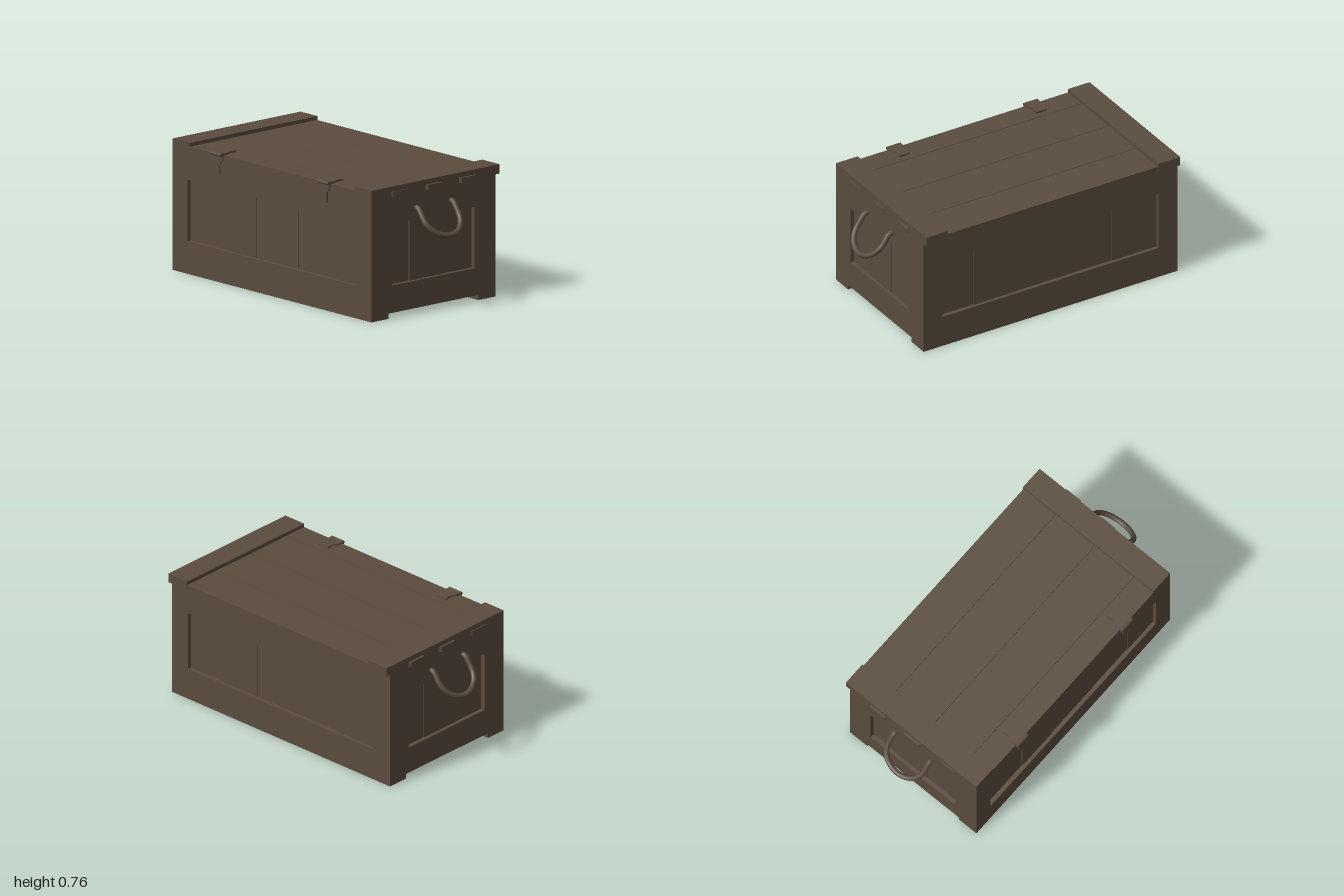
import * as THREE from 'three';

const wood = new THREE.MeshStandardMaterial({ color: 0x5a4c3f });
wood.name = 'brown';

function add(parent, name, geometry) {
  const mesh = new THREE.Mesh(geometry, wood);
  mesh.name = name;
  parent.add(mesh);
  return mesh;
}

// Box given by its minimum and maximum corners
function box(parent, name, x0, x1, y0, y1, z0, z1) {
  const mesh = add(parent, name, new THREE.BoxGeometry(x1 - x0, y1 - y0, z1 - z0));
  mesh.position.set((x0 + x1) / 2, (y0 + y1) / 2, (z0 + z1) / 2);
  return mesh;
}

const polygon = (points) => new THREE.Shape(points.map(([x, y]) => new THREE.Vector2(x, y)));
const rect = (x0, x1, y0, y1) => polygon([[x0, y0], [x1, y0], [x1, y1], [x0, y1]]);
const extrude = (shape, depth) => new THREE.ExtrudeGeometry(shape, { depth, bevelEnabled: false });

const L = -0.475, R = 0.465, END = 0.845, LID = 0.49, WALL = 0.03;
const BOTTOM = 0.03, RIM = 0.71, P0 = 0.19, P1 = 0.547;

// Wall with a rectangular opening, facing +z with its inside at z = 0
function framedWall(a, b, holeA, holeB) {
  const shape = rect(a, b, BOTTOM, RIM);
  shape.holes.push(rect(holeA, holeB, P0, P1));
  return extrude(shape, WALL);
}

// Vertical boards set back inside an opening, at slightly different depths
function boards(parent, cuts) {
  for (let i = 0; i < cuts.length - 1; i++) {
    const depth = [0.004, 0.009, 0.006][i % 3];
    box(parent, 'panelBoard', cuts[i], cuts[i + 1], P0 - 0.02, P1 + 0.02, -0.01, depth);
  }
}

// End wall, lid batten, lid brackets and carrying handle
function createEnd() {
  const end = new THREE.Group();
  end.name = 'crateEnd';
  const panel = new THREE.Group();
  panel.name = 'endPanel';
  panel.position.z = END - WALL;
  add(panel, 'endFrame', framedWall(L, R, -0.32, 0.305));
  boards(panel, [-0.34, -0.17, 0.08, 0.325]);
  end.add(panel);

  box(end, 'lidBatten', L, LID + 0.004, RIM, 0.765, 0.7, END);

  // Tapered brackets under the batten
  for (const x of [-0.262, -0.003, 0.25]) {
    const h = x < -0.1 ? 0.006 : 0.014;
    const shape = polygon([[-0.062, 0], [0.062, 0], [0.052, -h], [-0.052, -h]]);
    const bracket = add(end, 'lidBracket', extrude(shape, 0.03));
    bracket.rotation.x = -Math.PI / 2;
    bracket.position.set(x, 0.705, END);
  }

  // Drooping rope handle
  const w = 0.132, points = [[-w, 0.613, 0.835], [-w, 0.612, 0.862], [-w, 0.585, 0.885]];
  for (let i = 0; i <= 10; i++) {
    const a = Math.PI * i / 10;
    const y = 0.555 - 0.098 * Math.sin(a);
    points.push([-w * Math.cos(a), y, 0.906 + (0.555 - y) * 0.8]);
  }
  points.push([w, 0.585, 0.885], [w, 0.612, 0.862], [w, 0.613, 0.835]);
  const path = new THREE.CatmullRomCurve3(points.map((p) => new THREE.Vector3(...p)));
  add(end, 'handle', new THREE.TubeGeometry(path, 48, 0.016, 10)).position.x = -0.004;
  return end;
}

// Metal fastener: barrel, strap on the lid and strap on the wall
function createLatch() {
  const latch = new THREE.Group();
  latch.name = 'latch';
  const top = add(latch, 'topStrap', extrude(polygon([
    [-0.485, -0.046], [-0.445, -0.046], [-0.415, -0.028], [-0.37, -0.034],
    [-0.37, 0.034], [-0.415, 0.028], [-0.445, 0.046], [-0.485, 0.046],
  ]), 0.012));
  top.rotation.x = -Math.PI / 2;
  top.position.y = 0.742;
  const side = add(latch, 'sideStrap', extrude(polygon([
    [-0.046, 0.745], [-0.046, 0.715], [-0.022, 0.69], [-0.022, 0.63],
    [0.022, 0.63], [0.022, 0.69], [0.046, 0.715], [0.046, 0.745],
  ]), 0.01));
  side.rotation.y = -Math.PI / 2;
  side.position.x = L + 0.002;
  const barrel = add(latch, 'barrel', new THREE.CylinderGeometry(0.011, 0.011, 0.092, 12));
  barrel.rotation.x = Math.PI / 2;
  barrel.position.set(-0.485, 0.746, 0);
  return latch;
}

export function createModel() {
  const crate = new THREE.Group();
  crate.name = 'crate';

  // Solid core behind the walls, and the two floor runners
  box(crate, 'core', L + WALL, R - WALL, BOTTOM, RIM, -END + WALL, END - WALL);
  box(crate, 'runner', L, -0.345, 0, BOTTOM, -END, END);
  box(crate, 'runner', 0.335, R, 0, BOTTOM, -END, END);

  // Ends, the back one mirrored by turning about the crate's middle line
  crate.add(createEnd());
  const back = createEnd();
  back.rotation.y = Math.PI;
  back.position.x = L + R;
  // The batten and brackets keep the lid's overhang on the +x side
  for (const part of back.children) {
    if (part.name === 'lidBatten') part.position.x = L + R - part.position.x;
    if (part.name === 'lidBracket') part.position.x = L + R - part.position.x;
  }
  crate.add(back);

  // Long sides
  for (const s of [1, -1]) {
    const side = new THREE.Group();
    side.name = s > 0 ? 'leftSide' : 'rightSide';
    const e = END - WALL;
    add(side, 'sideFrame', framedWall(-e, e, -0.72, 0.72));
    boards(side, [-0.74, -0.5, -0.2, 0.16, 0.42, 0.74].map((v) => s * v).sort((a, b) => a - b));
    side.rotation.y = s * Math.PI / 2;
    side.position.x = s > 0 ? R - WALL : L + WALL;
    crate.add(side);
  }

  // Lid: slab with planks separated by fine grooves
  box(crate, 'lidSlab', L, LID, RIM, 0.736, -0.7, 0.7);
  const cuts = [L, -0.33, -0.04, 0.25, LID];
  for (let i = 0; i < 4; i++) {
    box(crate, 'lidPlank', cuts[i] + (i ? 0.0015 : 0), cuts[i + 1] - (i < 3 ? 0.0015 : 0),
      0.73, 0.743, -0.7, 0.7);
  }

  // Latches
  for (const z of [0.452, -0.46]) {
    const latch = createLatch();
    latch.position.z = z;
    crate.add(latch);
  }
  return crate;
}
